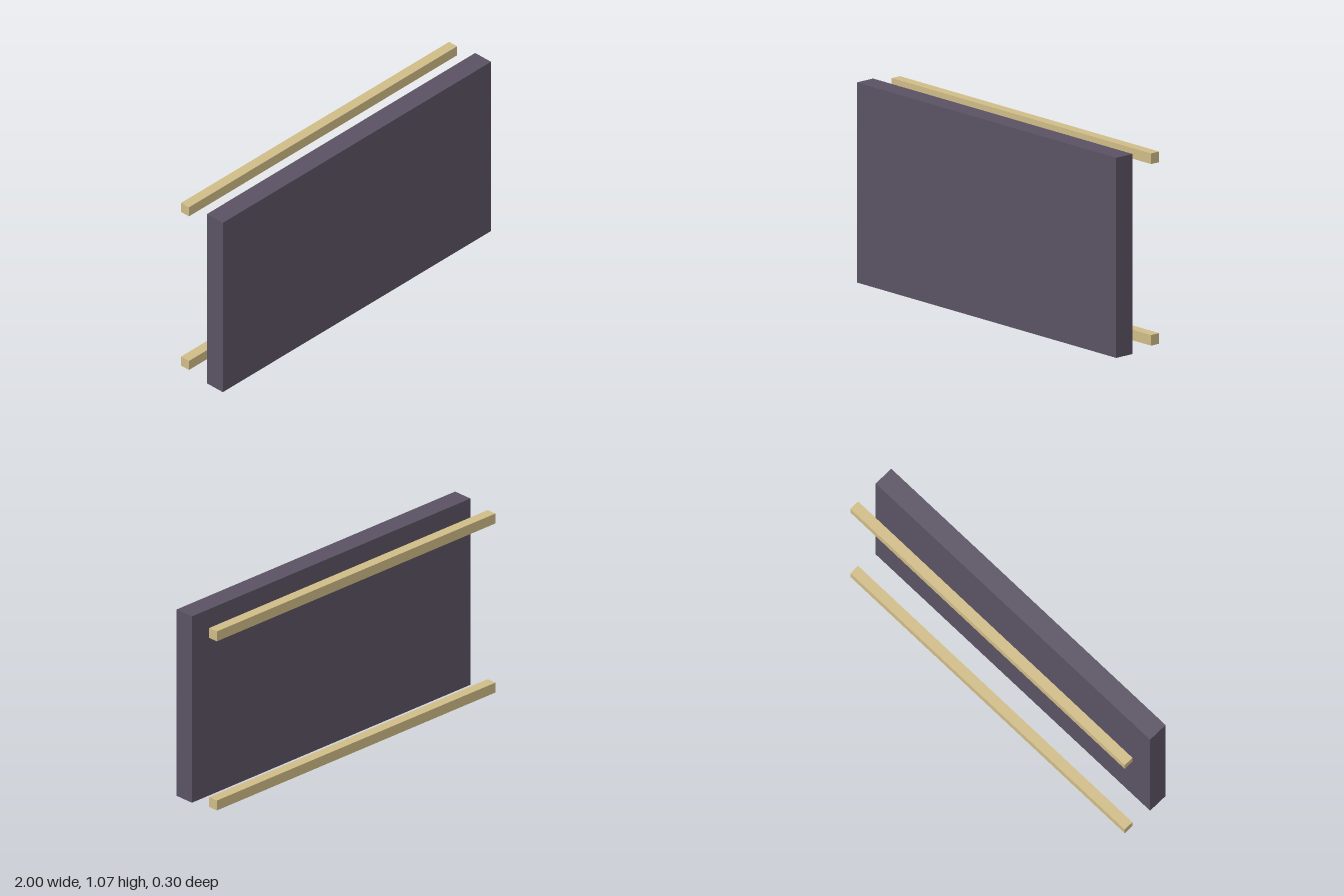
import * as THREE from 'three';

export function createModel() {
  const model = new THREE.Group();
  model.name = 'panelWithRails';

  const panelMaterial = new THREE.MeshStandardMaterial({ color: 0x5a5263 });
  const railMaterial = new THREE.MeshStandardMaterial({ color: 0xcfbc87 });

  const length = 2;
  const halfDepth = 0.15;

  // Adds a full-length bar centred on x
  function addBar(name, height, depth, y, z, material) {
    const mesh = new THREE.Mesh(new THREE.BoxGeometry(length, height, depth), material);
    mesh.name = name;
    mesh.position.set(0, y, z);
    model.add(mesh);
  }

  // Front panel standing on the ground
  const panelHeight = 1.072;
  const panelDepth = 0.114;
  addBar('panel', panelHeight, panelDepth, panelHeight / 2, halfDepth - panelDepth / 2, panelMaterial);

  // Square rails behind the panel, near its bottom and top edges
  const railSize = 0.057;
  const railInset = 0.0495;
  const railZ = -halfDepth + railSize / 2;
  addBar('lowerRail', railSize, railSize, railInset, railZ, railMaterial);
  addBar('upperRail', railSize, railSize, panelHeight - railInset, railZ, railMaterial);

  return model;
}
